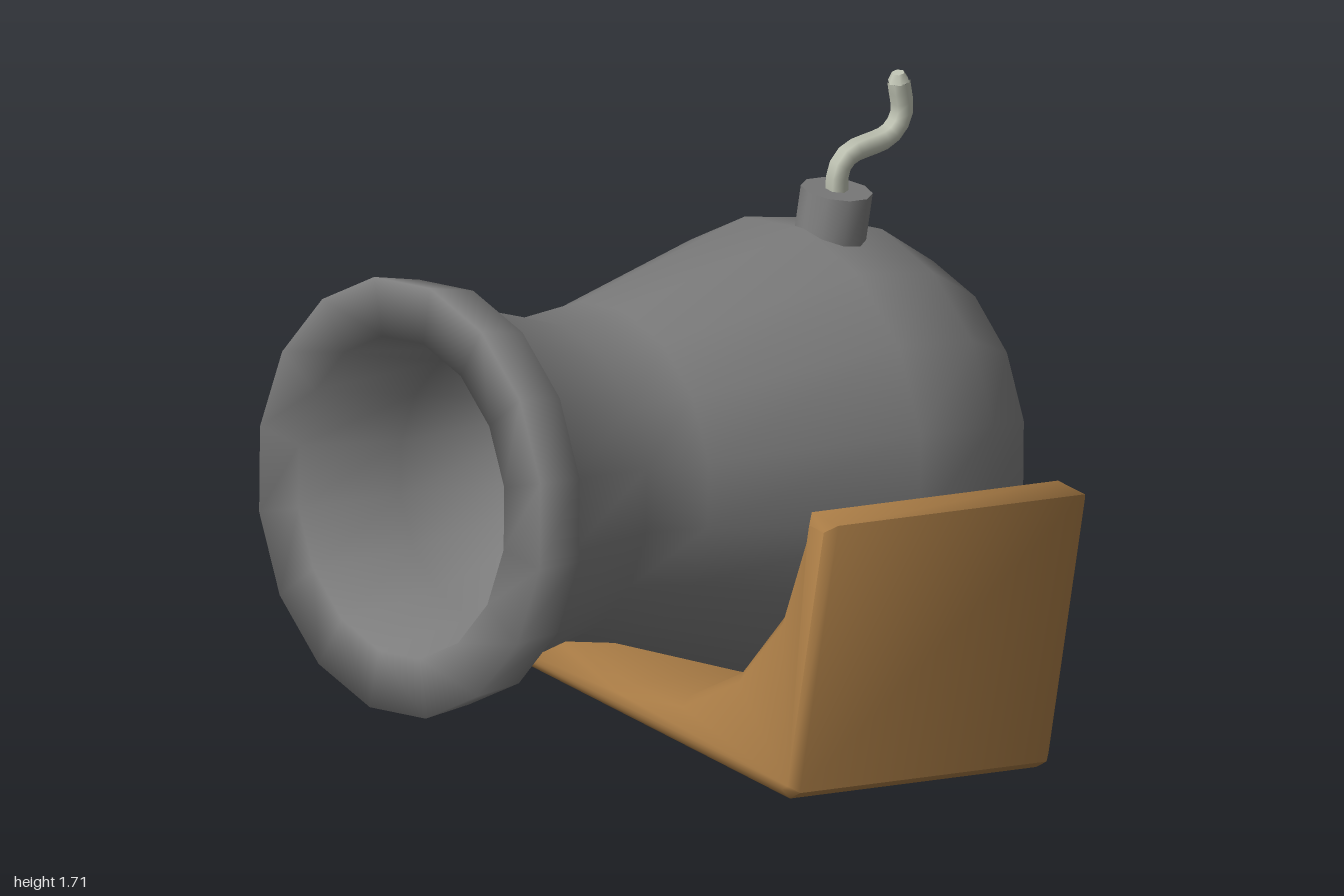
import * as THREE from 'three';
import { toCreasedNormals } from 'three/addons/utils/BufferGeometryUtils.js';

const TILT = -Math.PI / 18;

function material(color) {
  return new THREE.MeshStandardMaterial({ color });
}

function addMesh(parent, name, geometry, mat) {
  const mesh = new THREE.Mesh(geometry, mat);
  mesh.name = name;
  parent.add(mesh);
  return mesh;
}

// Pot-bellied barrel with a flared collar and a hollow bore, muzzle at the origin facing +z
function barrelGeometry() {
  const profile = [
    // round breech
    [0, -1.928], [0.263, -1.863], [0.47, -1.715], [0.578, -1.523], [0.607, -1.254],
    // waist
    [0.444, -0.673], [0.421, -0.484], [0.5, -0.165],
    // muzzle collar
    [0.552, -0.15], [0.574, 0],
    // bore
    [0.42, -0.005], [0.36, -0.3], [0.23, -0.52], [0, -0.56],
  ].map(([r, y]) => new THREE.Vector2(r, y));
  return new THREE.LatheGeometry(profile, 16).rotateX(Math.PI / 2);
}

// Block with a round trough cut out of its top
function cradleGeometry() {
  const bevel = 0.025;
  const w = 0.71 - bevel, h = 0.38 - bevel, length = 0.88 - 2 * bevel;
  const cutY = 0.307, cutR = 0.6 + bevel;
  const shape = new THREE.Shape();
  shape.moveTo(-w, h);
  shape.lineTo(-w, -h + 0.015);
  shape.lineTo(-w + 0.02, -h);
  shape.lineTo(w - 0.02, -h);
  shape.lineTo(w, -h + 0.015);
  shape.lineTo(w, h);
  shape.lineTo(cutR, h);
  const steps = 8;
  for (let i = 0; i <= steps; i++) {
    const a = (i / steps) * Math.PI;
    shape.lineTo(Math.cos(a) * cutR, cutY - Math.sin(a) * (cutR + 0.005));
  }
  shape.lineTo(-cutR, h);
  shape.closePath();
  const geo = new THREE.ExtrudeGeometry(shape, {
    depth: length, bevelEnabled: true, bevelSize: bevel, bevelThickness: bevel, bevelSegments: 1,
  });
  geo.translate(0, 0, -length / 2);
  return toCreasedNormals(geo, 0.9);
}

export function createModel() {
  const model = new THREE.Group();
  model.name = 'mortar';
  const iron = material(0x7d7d7d);
  const wood = material(0xa87b45);
  const cord = material(0xc0c4b4);

  const barrel = addMesh(model, 'barrel', barrelGeometry(), iron);
  barrel.position.set(0, 0.985, 0.9);
  barrel.rotation.x = TILT;

  const cradle = addMesh(model, 'cradle', cradleGeometry(), wood);
  cradle.position.set(0, 0.458, -0.325);
  cradle.rotation.x = TILT;

  // Collar around the fuse hole
  const collar = addMesh(model, 'fuseCollar',
    toCreasedNormals(new THREE.CylinderGeometry(0.094, 0.094, 0.2, 10), 0.9), iron);
  collar.position.set(0, 1.347, -0.533);
  collar.rotation.x = TILT;

  // Bent fuse cord with a pointed tip
  const path = new THREE.CatmullRomCurve3([
    [1.42, -0.55], [1.5, -0.557], [1.534, -0.59], [1.552, -0.725], [1.6, -0.765], [1.695, -0.756],
  ].map(([y, z]) => new THREE.Vector3(0, y, z)));
  addMesh(model, 'fuse', new THREE.TubeGeometry(path, 14, 0.03, 6), cord);
  const tip = addMesh(model, 'fuseTip', new THREE.CylinderGeometry(0.017, 0.03, 0.025, 6), cord);
  tip.position.set(0, 1.706, -0.755);
  tip.rotation.x = 0.09;

  return model;
}
